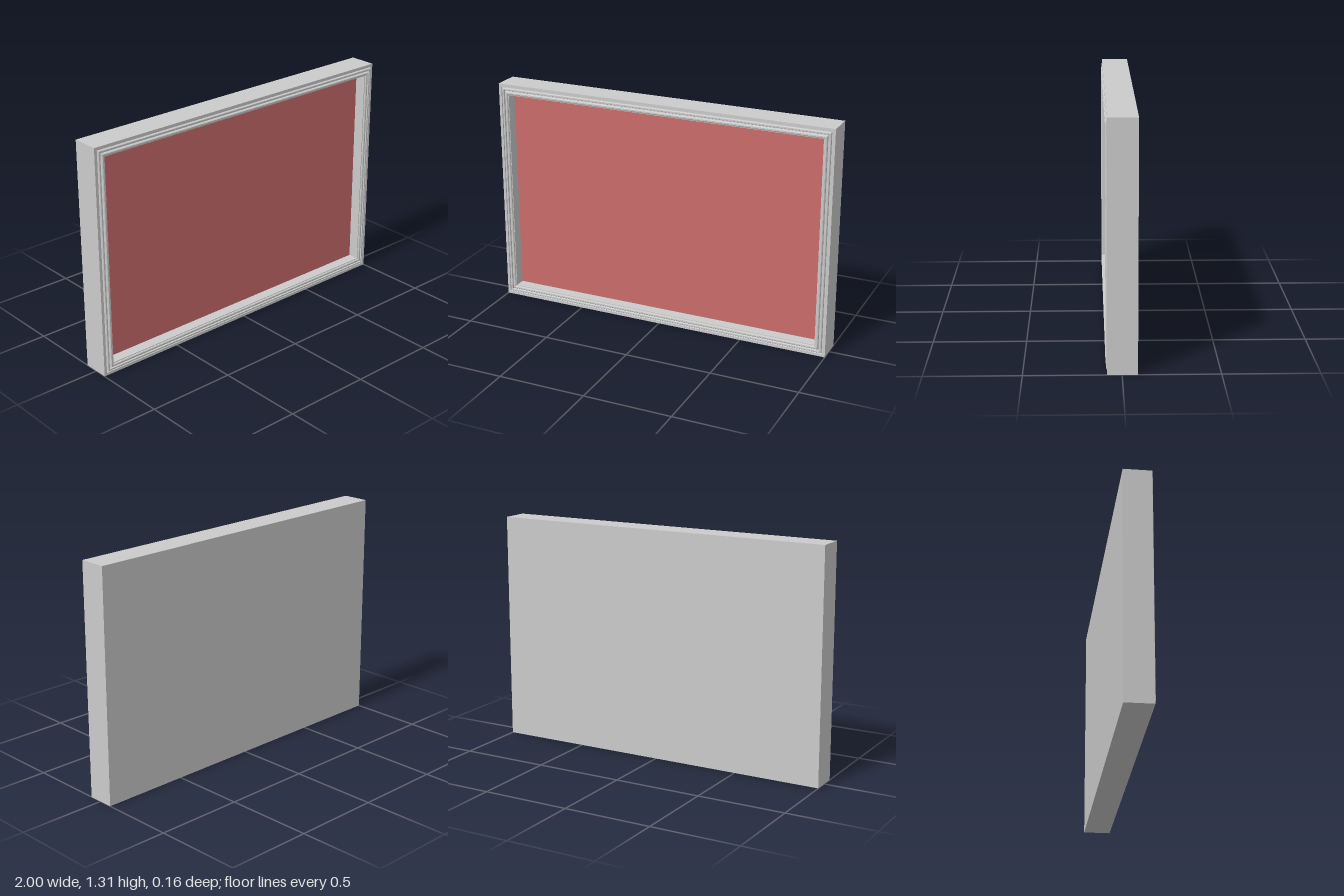
import * as THREE from 'three';

const HALF_W = 1, HALF_H = 0.655, BACK = -0.08, PANEL_Z = 0.01, OPENING = 0.062;

// Moulding cross-section as [inset from outer edge, z], from back edge to recess
const profile = [
  [0, BACK], [0, 0.075], [0.016, 0.075], [0.018, 0.068], [0.021, 0.068],
  [0.022, 0.077], [0.025, 0.08], [0.033, 0.08], [0.035, 0.077],
  [0.036, 0.07], [0.04, 0.07], [0.041, 0.079], [0.045, 0.083],
  [0.053, 0.083], [0.057, 0.08], [0.058, 0.074], [OPENING, 0.074], [OPENING, PANEL_Z],
];

// Sweeps the cross-section round a rectangle with mitred corners
function mitredFrame(points) {
  const corners = [[-1, -1], [1, -1], [1, 1], [-1, 1]];
  const at = ([inset, z], [sx, sy]) => [sx * (HALF_W - inset), HALF_H + sy * (HALF_H - inset), z];
  const pos = [];
  for (let i = 0; i < points.length - 1; i++) {
    for (let c = 0; c < 4; c++) {
      const next = corners[(c + 1) % 4];
      const a = at(points[i], corners[c]), b = at(points[i], next);
      const d = at(points[i + 1], corners[c]), e = at(points[i + 1], next);
      pos.push(...a, ...b, ...e, ...a, ...e, ...d);
    }
  }
  const geo = new THREE.BufferGeometry();
  geo.setAttribute('position', new THREE.Float32BufferAttribute(pos, 3));
  geo.computeVertexNormals();
  return geo;
}

export function createModel() {
  const group = new THREE.Group();
  const grey = new THREE.MeshStandardMaterial({ color: 0xcccccc, flatShading: true });
  const red = new THREE.MeshStandardMaterial({ color: 0xcc6c6c });

  const add = (name, geometry, material, z = 0, y = 0) => {
    const mesh = new THREE.Mesh(geometry, material);
    mesh.name = name;
    mesh.position.set(0, y, z);
    group.add(mesh);
    return mesh;
  };

  // Stepped picture frame
  add('frame', mitredFrame(profile), grey);

  // Flat back closing the frame
  add('backBoard', new THREE.PlaneGeometry(2 * HALF_W, 2 * HALF_H), grey, BACK, HALF_H).rotation.y = Math.PI;

  // Recessed coloured panel
  add('panel', new THREE.PlaneGeometry(2 * (HALF_W - OPENING), 2 * (HALF_H - OPENING)), red, PANEL_Z, HALF_H);

  return group;
}
